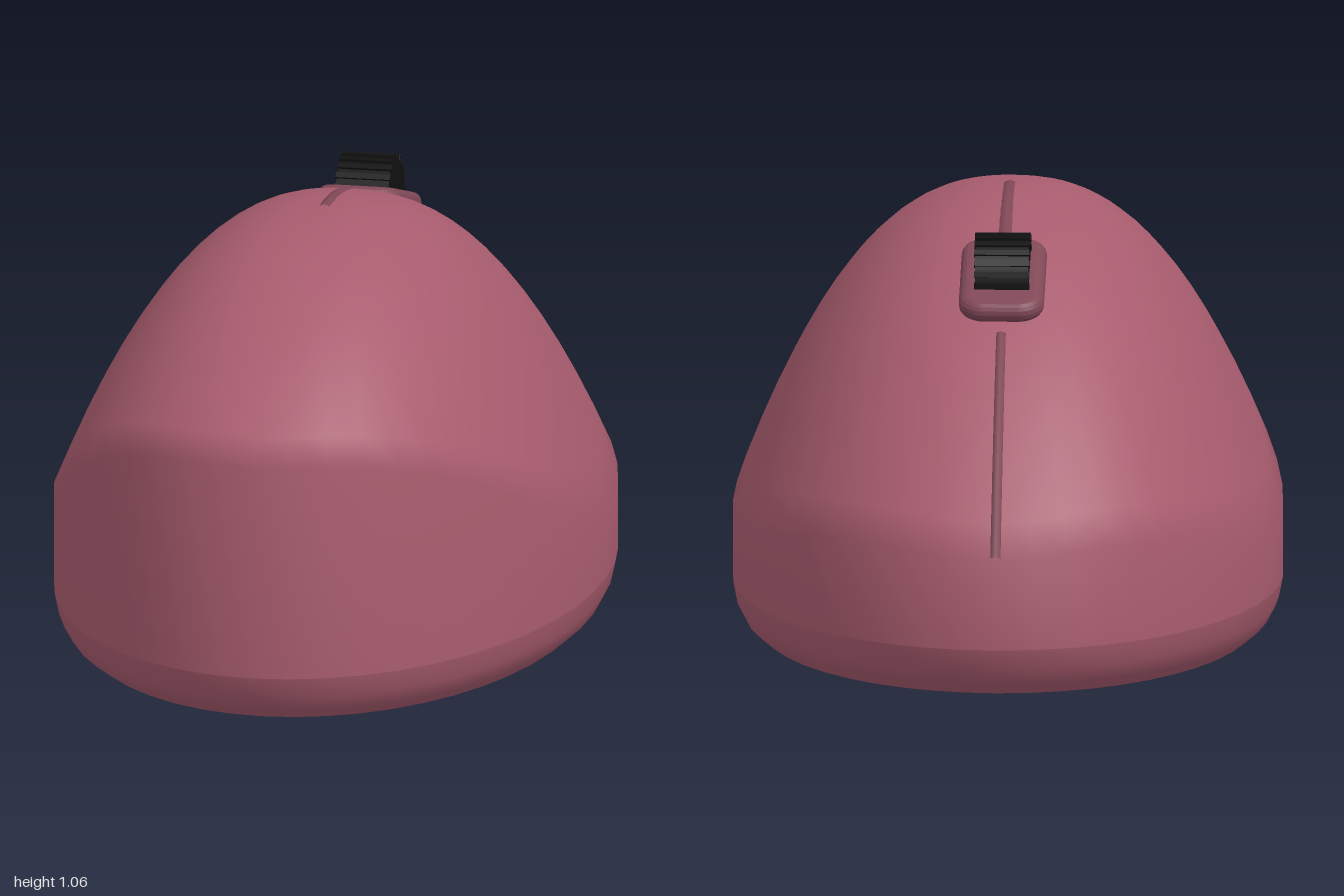
import * as THREE from 'three';
import { mergeVertices } from 'three/addons/utils/BufferGeometryUtils.js';

const HALF_WIDTH = 0.645;
const shellMat = new THREE.MeshStandardMaterial({ name: 'rose shell', color: 0xa85c6e });
const trimMat = new THREE.MeshStandardMaterial({ name: 'dark rose trim', color: 0x804856 });
const blackMat = new THREE.MeshStandardMaterial({ name: 'black rubber', color: 0x101010 });

// Height of the arched back along the centre line, and of the whole top surface
const spine = (z) => {
  const u = z > 0.13 ? (z - 0.13) / 0.87 : (0.13 - z) / 1.13;
  return 1.06 - (z > 0.13 ? 0.4 : 0.7) * Math.pow(u, 2.1);
};
const topHeight = (x, z) => spine(z) - 0.73 * Math.pow(Math.abs(x) / HALF_WIDTH, 2.4);

// Oval solid of revolution, narrowed in x, with seamless smooth normals
function ovalLathe(points, isTop = () => false) {
  const geo = new THREE.LatheGeometry(points.map(([r, y]) => new THREE.Vector2(r, y)), 48);
  geo.scale(HALF_WIDTH, 1, 1);
  const p = geo.attributes.position;
  for (let i = 0; i < p.count; i++) {
    if (isTop(p.getY(i))) p.setY(i, topHeight(p.getX(i), p.getZ(i)));
  }
  geo.deleteAttribute('normal');
  geo.deleteAttribute('uv');
  const merged = mergeVertices(geo, 1e-4);
  merged.computeVertexNormals();
  return merged;
}

// Rounded rectangle lying flat, with rounded edges, centred on its own middle
function roundedPlate(halfX, halfZ, radius, depth, bevel) {
  const a = halfX - bevel, b = halfZ - bevel, r = Math.min(radius - bevel, a, b);
  const s = new THREE.Shape();
  s.absarc(a - r, b - r, r, 0, Math.PI / 2);
  s.absarc(-a + r, b - r, r, Math.PI / 2, Math.PI);
  s.absarc(-a + r, -b + r, r, Math.PI, Math.PI * 1.5);
  s.absarc(a - r, -b + r, r, Math.PI * 1.5, Math.PI * 2);
  const geo = new THREE.ExtrudeGeometry(s, {
    depth: depth - 2 * bevel, bevelEnabled: true, bevelSize: bevel,
    bevelThickness: bevel, bevelSegments: 4, curveSegments: 8,
  });
  return geo.translate(0, 0, bevel - depth / 2).rotateX(-Math.PI / 2);
}

export function createModel() {
  const model = new THREE.Group();
  model.name = 'computerMouse';
  const add = (name, geo, mat, parent = model) => {
    const mesh = new THREE.Mesh(geo, mat);
    mesh.name = name;
    parent.add(mesh);
    return mesh;
  };

  // Arched shell with upright side walls
  const shellProfile = [[1, 0.15]];
  for (let i = 16; i >= 0; i--) shellProfile.push([i / 16, 1]);
  add('shell', ovalLathe(shellProfile, (y) => y > 0.5), shellMat);

  // Rounded lower rim and flat underside
  add('lowerRim', ovalLathe([[0.9, 0.03], [0.953, 0.06], [0.985, 0.1], [1, 0.15]]), shellMat);
  add('underside', ovalLathe([[0, 0.03], [0.9, 0.03]]), shellMat);

  // Button seam in front of and behind the wheel
  const seam = (name, z0, z1, radius) => {
    const pts = [];
    for (let i = 0; i <= 12; i++) {
      const z = z0 + ((z1 - z0) * i) / 12;
      pts.push(new THREE.Vector3(0, spine(z) - radius + 0.005, z));
    }
    add(name, new THREE.TubeGeometry(new THREE.CatmullRomCurve3(pts), 32, radius, 8), trimMat);
  };
  seam('frontSeam', -0.99, -0.54, 0.014);
  seam('rearSeam', -0.28, 0.14, 0.022);

  // Tilted surround of the scroll wheel
  const bezel = add('wheelSurround', roundedPlate(0.1, 0.18, 0.06, 0.05, 0.024), trimMat);
  bezel.position.set(0, 0.925, -0.405);
  bezel.rotation.x = -0.31;

  // Ribbed scroll wheel
  const wheel = new THREE.Group();
  wheel.name = 'scrollWheel';
  wheel.position.set(0, 0.927, -0.4);
  add('wheelCore', new THREE.CylinderGeometry(0.103, 0.103, 0.126, 32).rotateZ(Math.PI / 2), blackMat, wheel);
  for (let i = 0; i < 24; i++) {
    const rib = new THREE.BoxGeometry(0.13, 0.014, 0.014);
    rib.translate(0, 0.101, 0).rotateX((i / 24) * Math.PI * 2);
    add('wheelRib', rib, blackMat, wheel);
  }
  model.add(wheel);

  // Glide feet and sensor on the underside
  for (const [name, z] of [['palmFoot', 0.545], ['buttonFoot', -0.53]]) {
    add(name, roundedPlate(0.285, 0.097, 0.097, 0.032, 0.008), blackMat).position.set(0, 0.016, z);
  }
  add('sensor', new THREE.CylinderGeometry(0.105, 0.105, 0.009, 32), blackMat).position.y = 0.0275;

  return model;
}
